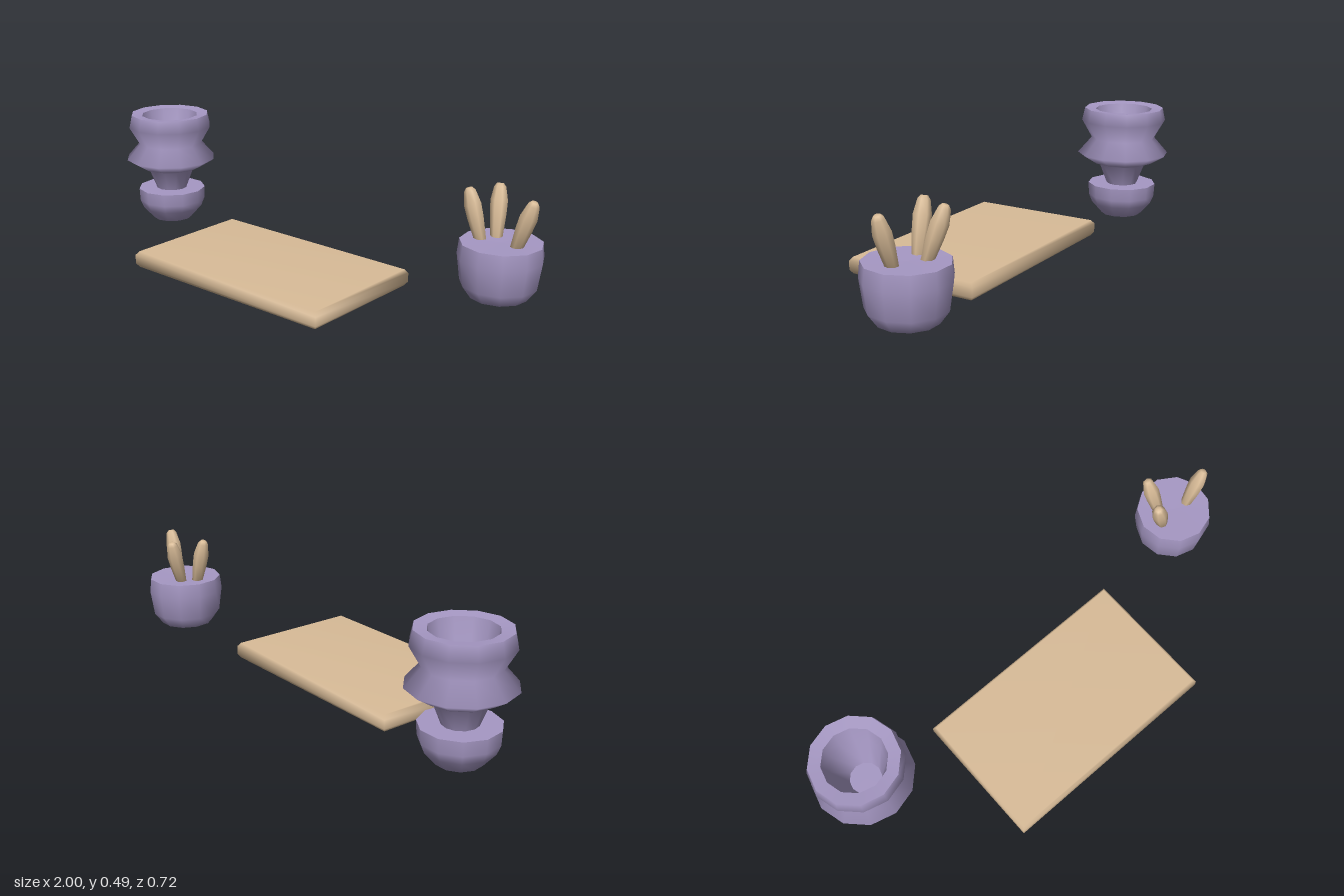
import * as THREE from 'three';
import { mergeVertices } from 'three/addons/utils/BufferGeometryUtils.js';

const clay = new THREE.MeshStandardMaterial({ color: 0xa698c4, side: THREE.DoubleSide });
const wood = new THREE.MeshStandardMaterial({ color: 0xd9bc98 });

// Each strip of [radius, y] points is smooth; edges between strips stay sharp.
function turned(name, strips, sides, material) {
  const group = new THREE.Group();
  group.name = name;
  strips.forEach((strip, i) => {
    const points = strip.map(([r, y]) => new THREE.Vector2(r, y));
    const mesh = new THREE.Mesh(new THREE.LatheGeometry(points, sides), material);
    mesh.name = `${name}Surface${i + 1}`;
    group.add(mesh);
  });
  return group;
}

// Slab with chamfered edges and softened normals
function createBoard() {
  const w = 0.91, d = 0.535, bevel = 0.015;
  const shape = new THREE.Shape([
    new THREE.Vector2(-w / 2, -d / 2), new THREE.Vector2(w / 2, -d / 2),
    new THREE.Vector2(w / 2, d / 2), new THREE.Vector2(-w / 2, d / 2),
  ]);
  let geo = new THREE.ExtrudeGeometry(shape, {
    depth: 0.036, bevelEnabled: true, bevelThickness: bevel, bevelSize: 0.011, bevelSegments: 1,
  });
  geo.rotateX(-Math.PI / 2);
  geo.translate(-0.005, bevel, 0.079);
  geo.deleteAttribute('normal');
  geo.deleteAttribute('uv');
  geo = mergeVertices(geo, 1e-4);
  geo.computeVertexNormals();
  const board = new THREE.Mesh(geo, wood);
  board.name = 'board';
  return board;
}

// Thick stick with a blunt tip, leaning from base to tip
function createStick(base, tip) {
  const from = new THREE.Vector3(...base), dir = new THREE.Vector3(...tip).sub(from);
  const h = dir.length();
  const stick = turned('stick', [[
    [0, 0], [0.021, 0], [0.03, h * 0.45], [0.032, h * 0.7], [0.022, h * 0.94], [0.012, h], [0, h],
  ]], 7, wood);
  stick.position.copy(from);
  stick.quaternion.setFromUnitVectors(new THREE.Vector3(0, 1, 0), dir.normalize());
  return stick;
}

export function createModel() {
  const model = new THREE.Group();
  model.name = 'potterySet';
  model.add(createBoard());

  // Stacked vessel: filled bowl below, flared funnel above
  const vessel = new THREE.Group();
  vessel.name = 'stackedVessel';
  vessel.position.set(-0.805, 0, -0.16);
  vessel.add(
    turned('lowerBowl', [
      [[0, 0.014], [0.085, 0.014], [0.13, 0.065], [0.144, 0.1], [0.147, 0.153]],
      [[0.147, 0.153], [0, 0.153]],
    ], 11, clay),
    turned('funnel', [
      [[0.065, 0.15], [0.1, 0.24], [0.135, 0.252], [0.196, 0.29],
        [0.137, 0.358], [0.181, 0.435], [0.169, 0.489]],
      [[0.169, 0.489], [0.122, 0.484]],
      [[0.122, 0.484], [0.105, 0.4], [0.062, 0.23]],
      [[0.062, 0.23], [0, 0.23]],
    ], 12, clay),
  );
  model.add(vessel);

  // Cup holding three sticks
  const cup = new THREE.Group();
  cup.name = 'stickCup';
  cup.position.set(0.845, 0, -0.208);
  cup.add(turned('cup', [
    [[0, 0.063], [0.108, 0.063], [0.142, 0.11], [0.156, 0.21], [0.15, 0.267]],
    [[0.15, 0.267], [0, 0.264]],
  ], 11, clay));
  const sticks = [
    [[-0.075, 0.25, 0.013], [-0.13, 0.447, 0.022]],
    [[-0.045, 0.25, -0.042], [-0.075, 0.447, -0.1]],
    [[0.06, 0.25, 0.008], [0.125, 0.443, 0.014]],
  ];
  sticks.forEach(([base, tip]) => cup.add(createStick(base, tip)));
  model.add(cup);
  return model;
}
